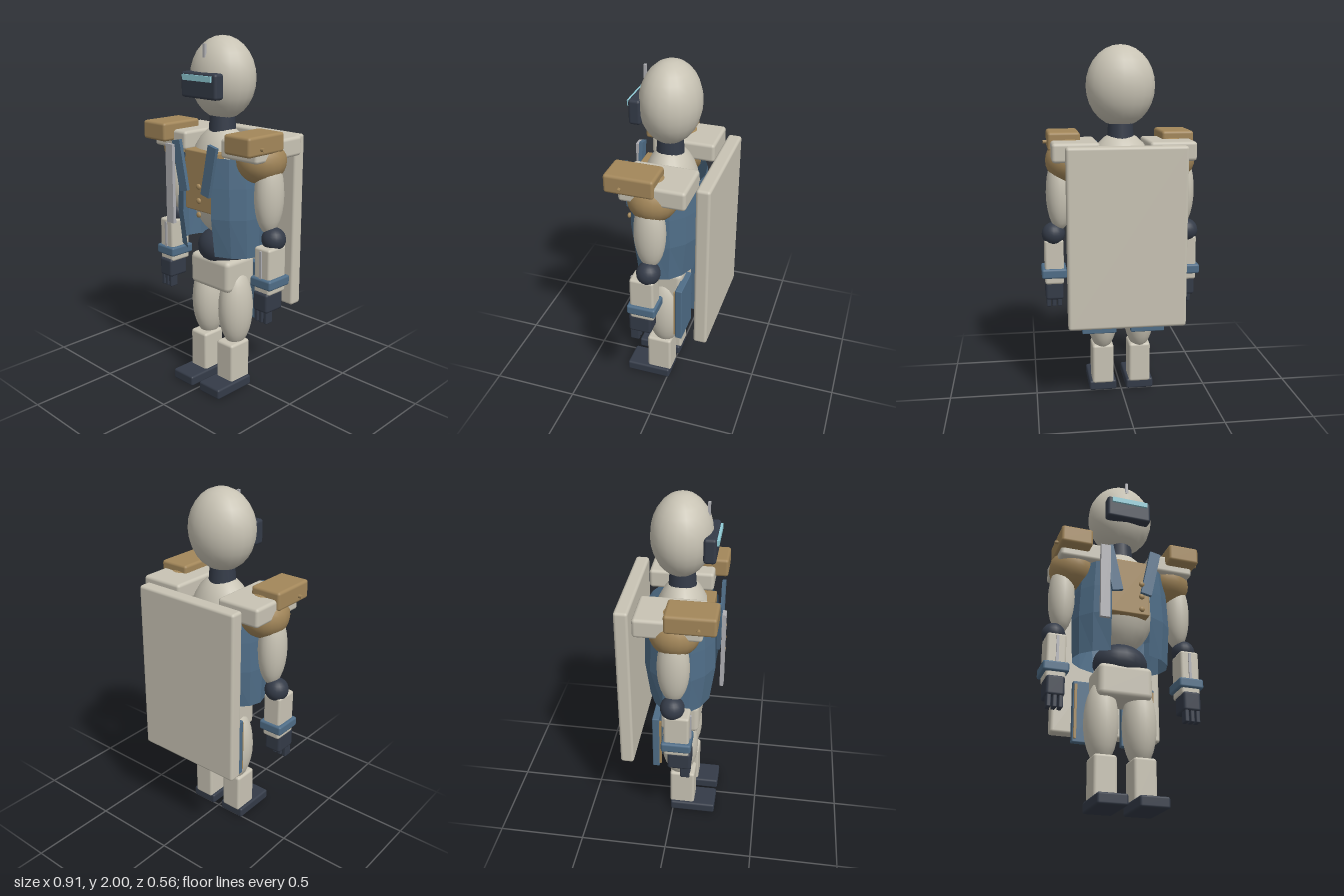
import * as THREE from 'three';
import { RoundedBoxGeometry } from 'three/addons/geometries/RoundedBoxGeometry.js';

const mat = (color, extra = {}) => new THREE.MeshStandardMaterial({ color, ...extra });

export function createModel() {
  const model = new THREE.Group();
  model.name = 'armouredFigure';

  const cream = mat(0xc8c3b4), ochre = mat(0xa3875a), blue = mat(0x4f6d87);
  const dark = mat(0x343b48), steel = mat(0xb0b0b4), glow = mat(0x8fcbd6);
  const cloth = mat(0x4f6d87, { flatShading: true, side: THREE.DoubleSide });

  const add = (name, geometry, material, x, y, z, parent = model) => {
    const mesh = new THREE.Mesh(geometry, material);
    mesh.name = name;
    mesh.position.set(x, y, z);
    parent.add(mesh);
    return mesh;
  };
  // Box with softened edges; r = 0 gives a plain box
  const box = (name, material, [w, h, d], [x, y, z], r = 0.015, parent = model) =>
    add(name, r ? new RoundedBoxGeometry(w, h, d, 2, r) : new THREE.BoxGeometry(w, h, d),
      material, x, y, z, parent);
  const ellipsoid = (name, material, [rx, ry, rz], [x, y, z], parent = model) =>
    add(name, new THREE.SphereGeometry(1, 20, 14).scale(rx, ry, rz), material, x, y, z, parent);

  // Head and neck
  ellipsoid('head', cream, [0.193, 0.222, 0.164], [0, 1.778, 0.026]);
  box('visor', dark, [0.264, 0.136, 0.066], [0, 1.748, 0.181], 0.016);
  box('visorLight', glow, [0.214, 0.03, 0.014], [0, 1.788, 0.219], 0);
  box('foreheadFin', steel, [0.016, 0.07, 0.014], [0, 1.925, 0.162], 0);
  add('neck', new THREE.CylinderGeometry(0.068, 0.076, 0.1, 16), dark, 0, 1.54, 0.03);

  // Torso, waist and hips
  ellipsoid('torso', cream, [0.21, 0.315, 0.165], [0, 1.215, 0.03]);
  ellipsoid('waist', dark, [0.155, 0.115, 0.13], [0, 0.825, 0.03]);
  box('hips', cream, [0.305, 0.187, 0.225], [0, 0.692, 0.033], 0.03);

  // Shirt front with a column of buttons
  box('shirtFront', ochre, [0.235, 0.335, 0.11], [0, 1.233, 0.15], 0.008);
  for (const y of [1.225, 1.147, 1.07]) {
    ellipsoid('button', ochre, [0.016, 0.016, 0.01], [0.05, y, 0.261]);
  }

  // Jacket: an open faceted sleeve, shallower in depth towards the hem
  const profile = [[0.276, 0.83], [0.285, 1.05], [0.277, 1.22], [0.262, 1.38]]
    .map(([r, y]) => new THREE.Vector2(r, y));
  const jacket = new THREE.LatheGeometry(profile, 14, 0.4, Math.PI * 2 - 0.8);
  const p = jacket.attributes.position;
  for (let i = 0; i < p.count; i++) {
    const depth = 0.66 + 0.09 * Math.min(1, (p.getY(i) - 0.83) / 0.22);
    p.setZ(i, p.getZ(i) * depth);
  }
  jacket.computeVertexNormals();
  add('jacket', jacket, cloth, 0, 0, 0.032);

  // Chest strip and back panel
  box('chestStrip', steel, [0.055, 0.445, 0.02], [-0.163, 1.207, 0.27], 0);
  box('backPanel', cream, [0.65, 0.995, 0.077], [0, 0.978, -0.244], 0.016);

  // Paired parts
  for (const s of [1, -1]) {
    const side = s > 0 ? 'left' : 'right';
    const arm = new THREE.Group();
    const leg = new THREE.Group();
    arm.name = side + 'Arm';
    leg.name = side + 'Leg';
    model.add(arm, leg);

    // Lapel and coat tail
    const lapel = box('lapel', blue, [0.062, 0.28, 0.02], [s * 0.112, 1.313, 0.24], 0);
    lapel.rotation.z = -s * 0.21;
    box('coatTail', blue, [0.195, 0.35, 0.04], [s * 0.139, 0.568, -0.09], 0.006);
    box('coatTailTrim', ochre, [0.014, 0.31, 0.012], [s * 0.224, 0.567, -0.065], 0);

    // Shoulder
    ellipsoid('shoulder', ochre, [0.135, 0.128, 0.137], [s * 0.287, 1.372, 0.03], arm);
    box('shoulderPlate', cream, [0.258, 0.106, 0.358], [s * 0.264, 1.434, 0.004], 0.018, arm);
    box('shoulderGuard', ochre, [0.18, 0.104, 0.268], [s * 0.318, 1.478, 0.12], 0.016, arm);
    const bolt = add('shoulderBolt', new THREE.CylinderGeometry(0.01, 0.01, 0.03, 10),
      ochre, s * 0.413, 1.462, 0.165, arm);
    bolt.rotation.z = Math.PI / 2;

    // Arm
    ellipsoid('upperArm', cream, [0.075, 0.215, 0.087], [s * 0.347, 1.19, 0.03], arm);
    ellipsoid('elbow', dark, [0.066, 0.066, 0.066], [s * 0.384, 0.955, 0.03], arm);
    box('forearm', cream, [0.108, 0.26, 0.137], [s * 0.383, 0.795, 0.056], 0.014, arm);
    box('forearmStrip', steel, [0.015, 0.175, 0.012], [s * 0.38, 0.822, 0.126], 0, arm);
    box('cuff', blue, [0.143, 0.056, 0.163], [s * 0.384, 0.73, 0.056], 0.012, arm);

    // Hand and fingers
    box('hand', dark, [0.102, 0.112, 0.13], [s * 0.384, 0.623, 0.071], 0.016, arm);
    for (const dx of [-0.032, 0, 0.032]) {
      box('finger', dark, [0.024, 0.085, 0.052], [s * (0.384 + dx), 0.547, 0.104], 0.006, arm);
    }

    // Leg
    ellipsoid('thigh', cream, [0.093, 0.235, 0.108], [s * 0.108, 0.482, 0.033], leg);
    box('shin', cream, [0.126, 0.24, 0.148], [s * 0.108, 0.165, 0.055], 0.016, leg);
    box('foot', dark, [0.16, 0.06, 0.268], [s * 0.109, 0.03, 0.121], 0.012, leg);
  }

  return model;
}
